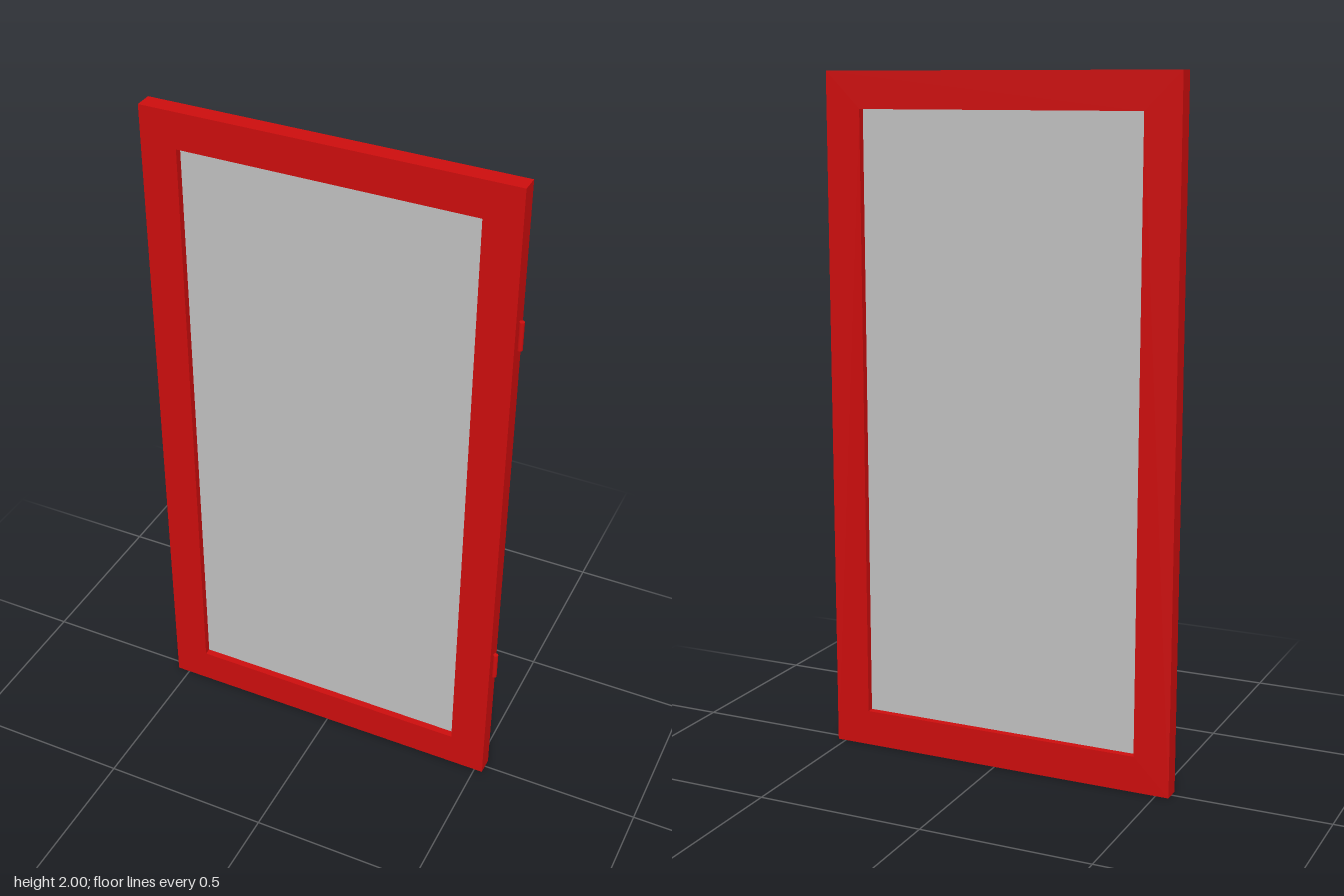
import * as THREE from 'three';

const LEFT = -0.539, RIGHT = 0.525, HEIGHT = 2, DEPTH = 0.052, BORDER = 0.106;

export function createModel() {
  const door = new THREE.Group();
  door.name = 'door';

  const red = new THREE.MeshStandardMaterial({ color: 0xcc0d0d });
  red.name = 'red paint';
  const grey = new THREE.MeshStandardMaterial({ color: 0xc0c0c0 });
  grey.name = 'grey glass';

  const add = (name, geometry, material, x, y, z) => {
    const mesh = new THREE.Mesh(geometry, material);
    mesh.name = name;
    mesh.position.set(x, y, z);
    door.add(mesh);
  };

  // Frame: rectangle with a rectangular opening
  const outline = new THREE.Shape([
    new THREE.Vector2(LEFT, 0), new THREE.Vector2(RIGHT, 0),
    new THREE.Vector2(RIGHT, HEIGHT), new THREE.Vector2(LEFT, HEIGHT),
  ]);
  const x0 = LEFT + BORDER, x1 = RIGHT - BORDER, y0 = BORDER, y1 = HEIGHT - BORDER;
  outline.holes.push(new THREE.Path([
    new THREE.Vector2(x0, y0), new THREE.Vector2(x0, y1),
    new THREE.Vector2(x1, y1), new THREE.Vector2(x1, y0),
  ]));
  const frame = new THREE.ExtrudeGeometry(outline, { depth: DEPTH, bevelEnabled: false });
  add('frame', frame, red, 0, 0, -DEPTH / 2);

  // Pane recessed in the middle of the frame
  const pane = new THREE.BoxGeometry(x1 - x0, y1 - y0, 0.01);
  add('pane', pane, grey, (x0 + x1) / 2, HEIGHT / 2, 0);

  // Hinge pins on the left edge
  const pin = new THREE.CylinderGeometry(0.0075, 0.0075, 0.084, 16);
  add('lowerHinge', pin, red, RIGHT + 0.0065, 0.429, 0);
  add('upperHinge', pin, red, RIGHT + 0.0065, 1.573, 0);

  return door;
}
